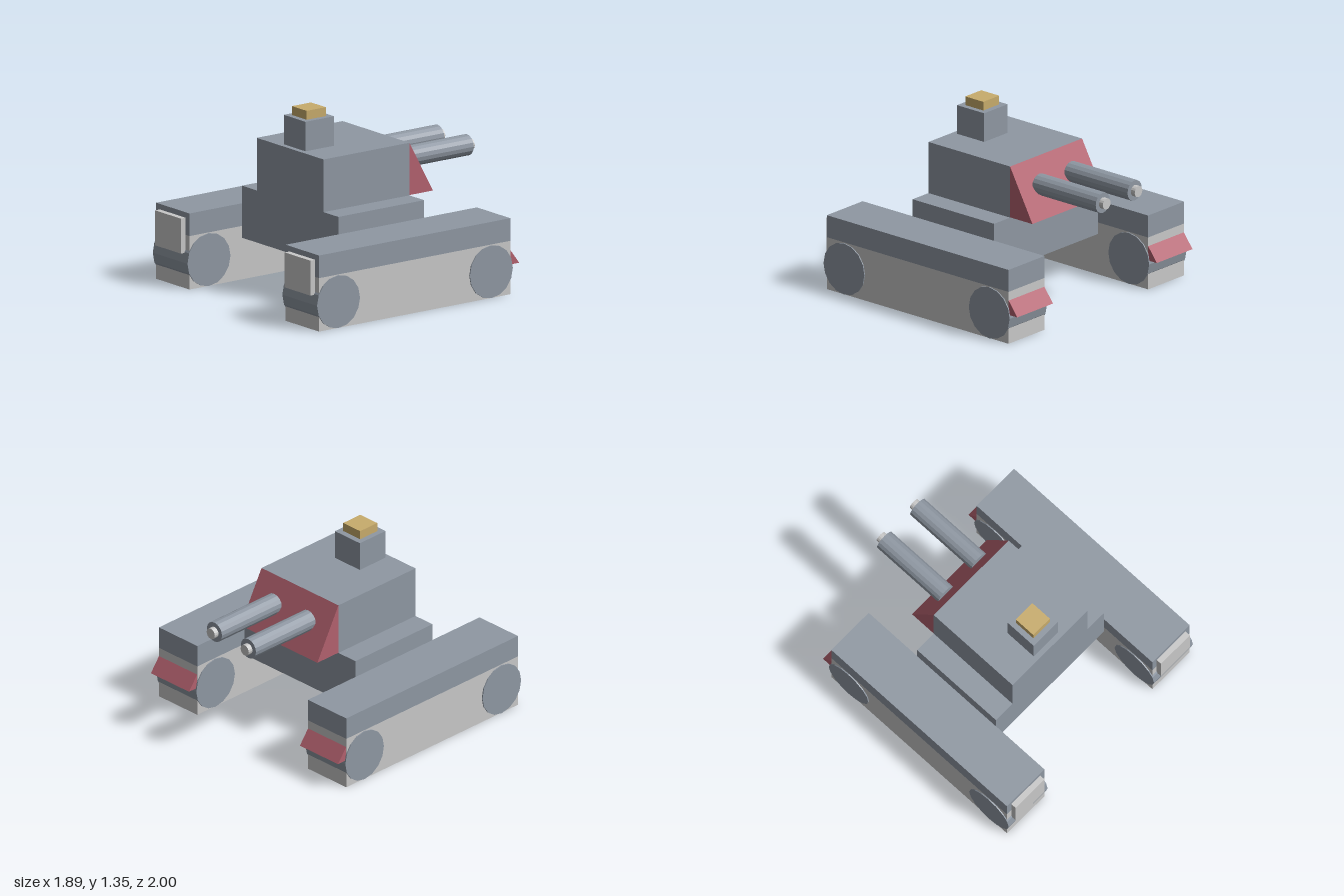
import * as THREE from 'three';

const material = (name, color) => {
  const m = new THREE.MeshStandardMaterial({ color });
  m.name = name;
  return m;
};

export function createModel() {
  const armour = material('blue grey armour', 0x8f98a3);
  const light = material('light grey', 0xc9c9c9);
  const red = material('dusty red', 0xb3616f);
  const gold = material('gold', 0xc8ac6c);
  const model = new THREE.Group();
  model.name = 'tank';

  const add = (name, geometry, mat, parent = model) => {
    const mesh = new THREE.Mesh(geometry, mat);
    mesh.name = name;
    parent.add(mesh);
    return mesh;
  };

  // Box given by its limits on each axis
  const box = (name, mat, [x0, x1], [y0, y1], [z0, z1], parent) =>
    add(name, new THREE.BoxGeometry(x1 - x0, y1 - y0, z1 - z0), mat, parent)
      .position.set((x0 + x1) / 2, (y0 + y1) / 2, (z0 + z1) / 2);

  // Triangular prism: upright face at zIn, lower edge reaching back to zOut
  const wedge = (name, x0, x1, y0, y1, zIn, zOut, parent) => {
    const shape = new THREE.Shape([
      new THREE.Vector2(-zIn, y0), new THREE.Vector2(-zOut, y0), new THREE.Vector2(-zIn, y1),
    ]);
    const g = new THREE.ExtrudeGeometry(shape, { depth: x1 - x0, bevelEnabled: false });
    g.rotateY(Math.PI / 2).translate(x0, 0, 0);
    add(name, g, red, parent);
  };

  // Faceted cylinder along x or z
  const cylinder = (name, mat, radius, length, axis, x, y, z, parent) => {
    const g = new THREE.CylinderGeometry(radius, radius, length, 16).toNonIndexed();
    if (axis === 'x') g.rotateZ(Math.PI / 2);
    else g.rotateX(Math.PI / 2);
    g.computeVertexNormals();
    add(name, g, mat, parent).position.set(x, y, z);
  };

  // Hull, turret and hatch
  box('hull', armour, [-0.555, 0.555], [0.303, 0.683], [-0.28, 0.487]);
  box('turret', armour, [-0.385, 0.385], [0.683, 1.067], [-0.28, 0.487]);
  wedge('turretSlope', -0.385, 0.385, 0.685, 1.067, -0.28, -0.49);
  box('hatch', armour, [-0.125, 0.125], [1.067, 1.282], [0.192, 0.447]);
  box('hatchLight', gold, [-0.085, 0.085], [1.282, 1.347], [0.235, 0.405]);

  for (const side of [-1, 1]) {
    const label = side > 0 ? 'left' : 'right';

    // Gun barrel with its narrower muzzle
    cylinder(label + 'Barrel', armour, 0.076, 0.597, 'z', side * 0.17, 0.9, -0.6645);
    cylinder(label + 'Muzzle', light, 0.041, 0.06, 'z', side * 0.17, 0.9, -0.97);

    // Track unit, built around its own centre line
    const track = new THREE.Group();
    track.name = label + 'Track';
    track.position.x = side * 0.746;
    model.add(track);
    box('trackSkirt', light, [-0.192, 0.192], [0, 0.39], [-0.752, 0.957], track);
    box('trackCover', armour, [-0.192, 0.192], [0.39, 0.555], [-0.752, 0.957], track);
    box('frontPlate', light, [-0.148, 0.148], [0.26, 0.515], [0.957, 1], track);
    wedge('rearSpur', -0.191, 0.191, 0.217, 0.553, -0.58, -0.833, track);
    for (const z of [0.789, -0.577]) {
      cylinder('wheel', armour, 0.192, 0.4, 'x', 0, 0.193, z, track);
    }
  }
  return model;
}
